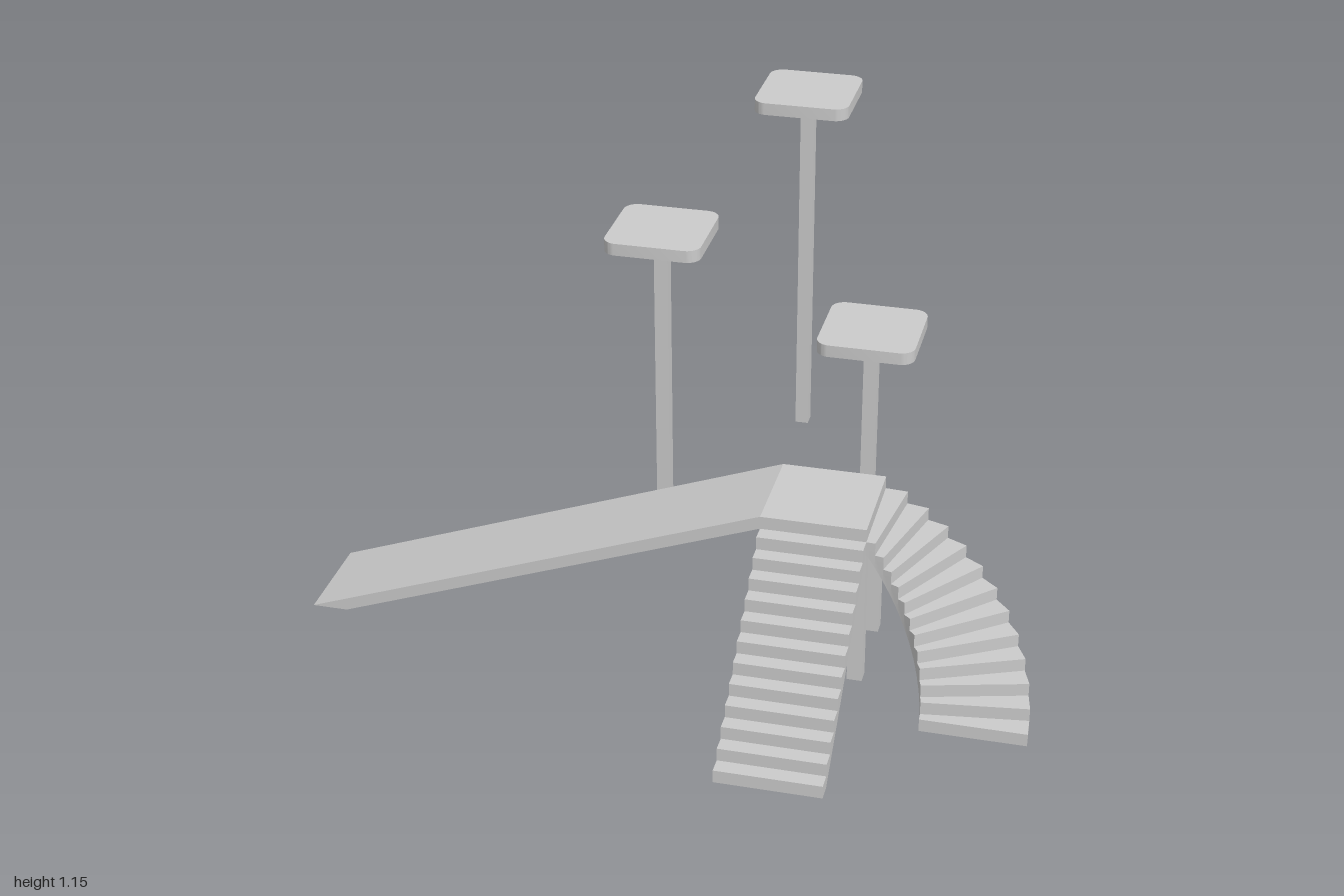
import * as THREE from 'three';
import { toCreasedNormals } from 'three/addons/utils/BufferGeometryUtils.js';

const STEPS = 12;
const RISE = 0.0374;                 // also the thickness of every slab
const DECK = RISE * (STEPS + 1);     // height of the platform top
const WIDTH = 0.29;
// Platform extents in the diagonal frame (x along the ramp, z along the stairs)
const X0 = 0.17, X1 = 0.46, Z0 = -0.02, Z1 = 0.27;

const grey = new THREE.MeshStandardMaterial({ color: 0xcccccc });

function addMesh(parent, name, geometry, x = 0, y = 0, z = 0) {
  const mesh = new THREE.Mesh(geometry, grey);
  mesh.name = name;
  mesh.position.set(x, y, z);
  parent.add(mesh);
  return mesh;
}

function extrude(points, depth) {
  const shape = new THREE.Shape(points.map(([x, y]) => new THREE.Vector2(x, y)));
  return new THREE.ExtrudeGeometry(shape, { depth, bevelEnabled: false });
}

// Saw-tooth flight with a sloping underside
function straightStairsGeometry() {
  const run = 0.535 / STEPS;
  const points = [[0, (STEPS - 1) * RISE], [(STEPS - 1) * run, 0], [STEPS * run, 0]];
  for (let i = STEPS; i > 0; i--) {
    const top = (STEPS + 1 - i) * RISE;
    points.push([i * run, top], [(i - 1) * run, top]);
  }
  return extrude(points, WIDTH).rotateY(-Math.PI / 2);
}

// Quarter-turn flight of wedge steps with a helical underside
function curvedStairsGeometry(inner, outer) {
  const positions = [];
  const point = (r, i, y) => {
    const a = (i / STEPS) * Math.PI / 2;
    return [r * Math.sin(a), y, -r * Math.cos(a)];
  };
  const quad = (a, b, c, d) => positions.push(...a, ...b, ...c, ...a, ...c, ...d);
  const under = i => Math.max(0, (STEPS - 1 - i) * RISE);
  for (let i = 0; i < STEPS; i++) {
    const j = i + 1, top = (STEPS - i) * RISE;
    const corners = r => [point(r, i, under(i)), point(r, i, top), point(r, j, top), point(r, j, under(j))];
    const [ib0, it0, it1, ib1] = corners(inner);
    const [ob0, ot0, ot1, ob1] = corners(outer);
    quad(it0, it1, ot1, ot0);                                   // tread
    quad(ib0, ob0, ob1, ib1);                                   // underside
    quad(ob0, ot0, ot1, ob1);                                   // outer wall
    quad(ib1, it1, it0, ib0);                                   // inner wall
    quad(point(inner, j, top - RISE), point(outer, j, top - RISE), ot1, it1); // riser
    if (i === 0) quad(ob0, ib0, it0, ot0);                      // upper end
  }
  const geometry = new THREE.BufferGeometry();
  geometry.setAttribute('position', new THREE.Float32BufferAttribute(positions, 3));
  geometry.computeVertexNormals();
  return toCreasedNormals(geometry, 0.4);
}

// Rounded square slab, lying flat with its underside at y = 0
function padGeometry(half, r) {
  const shape = new THREE.Shape();
  const c = half - r;
  shape.absarc(c, c, r, 0, Math.PI / 2);
  shape.absarc(-c, c, r, Math.PI / 2, Math.PI);
  shape.absarc(-c, -c, r, Math.PI, Math.PI * 1.5);
  shape.absarc(c, -c, r, Math.PI * 1.5, Math.PI * 2);
  const geometry = new THREE.ExtrudeGeometry(shape, { depth: RISE, bevelEnabled: false, curveSegments: 6 });
  geometry.rotateX(-Math.PI / 2).rotateY(Math.PI / 4);
  return toCreasedNormals(geometry, 0.5);
}

// Four-sided post or flare, corners on the x and z axes
function squareTaper(topRadius, bottomRadius, height) {
  const geometry = new THREE.CylinderGeometry(topRadius, bottomRadius, height, 4);
  return toCreasedNormals(geometry.translate(0, height / 2, 0), 0.3);
}

function createPad(name, x, z, top) {
  const pad = new THREE.Group();
  pad.name = name;
  pad.position.set(x, 0, z);
  const base = top - RISE, flare = 0.042;
  addMesh(pad, 'pole', squareTaper(0.029, 0.029, base - flare));
  addMesh(pad, 'bracket', squareTaper(0.068, 0.029, flare), 0, base - flare, 0);
  addMesh(pad, 'padTop', padGeometry(0.145, 0.042), 0, base, 0);
  return pad;
}

export function createModel() {
  const model = new THREE.Group();
  model.name = 'climbingStructure';

  // Platform with ramp and two flights of stairs, turned 45 degrees
  const tower = new THREE.Group();
  tower.name = 'tower';
  tower.rotation.y = -Math.PI / 4;
  model.add(tower);

  addMesh(tower, 'platform', new THREE.BoxGeometry(WIDTH, RISE, WIDTH),
    (X0 + X1) / 2, DECK - RISE / 2, (Z0 + Z1) / 2);

  // Ramp: a sloping slab cut off level at the ground
  const foot = -1.145;
  const cut = (X0 - foot) * RISE / DECK;
  addMesh(tower, 'ramp',
    extrude([[foot, 0], [foot + cut, 0], [X0, DECK - RISE], [X0, DECK]], WIDTH), 0, 0, Z0);

  addMesh(tower, 'straightStairs', straightStairsGeometry(), X1, 0, Z1);
  addMesh(tower, 'curvedStairs', curvedStairsGeometry(0.19, 0.48), X1, 0, 0.46);

  // Legs flush with the platform corners
  const leg = 0.042, legHeight = DECK - RISE;
  for (const x of [X0 + leg / 2, X1 - leg / 2]) {
    for (const z of [Z0 + leg / 2, Z1 - leg / 2]) {
      addMesh(tower, 'leg', new THREE.BoxGeometry(leg, legHeight, leg), x, legHeight / 2, z);
    }
  }

  // Free-standing pads on poles
  model.add(createPad('lowPad', 0.64, -0.2, 0.645));
  model.add(createPad('middlePad', 0.19, -0.65, 0.898));
  model.add(createPad('highPad', 0.805, -0.81, 1.15));

  return model;
}
